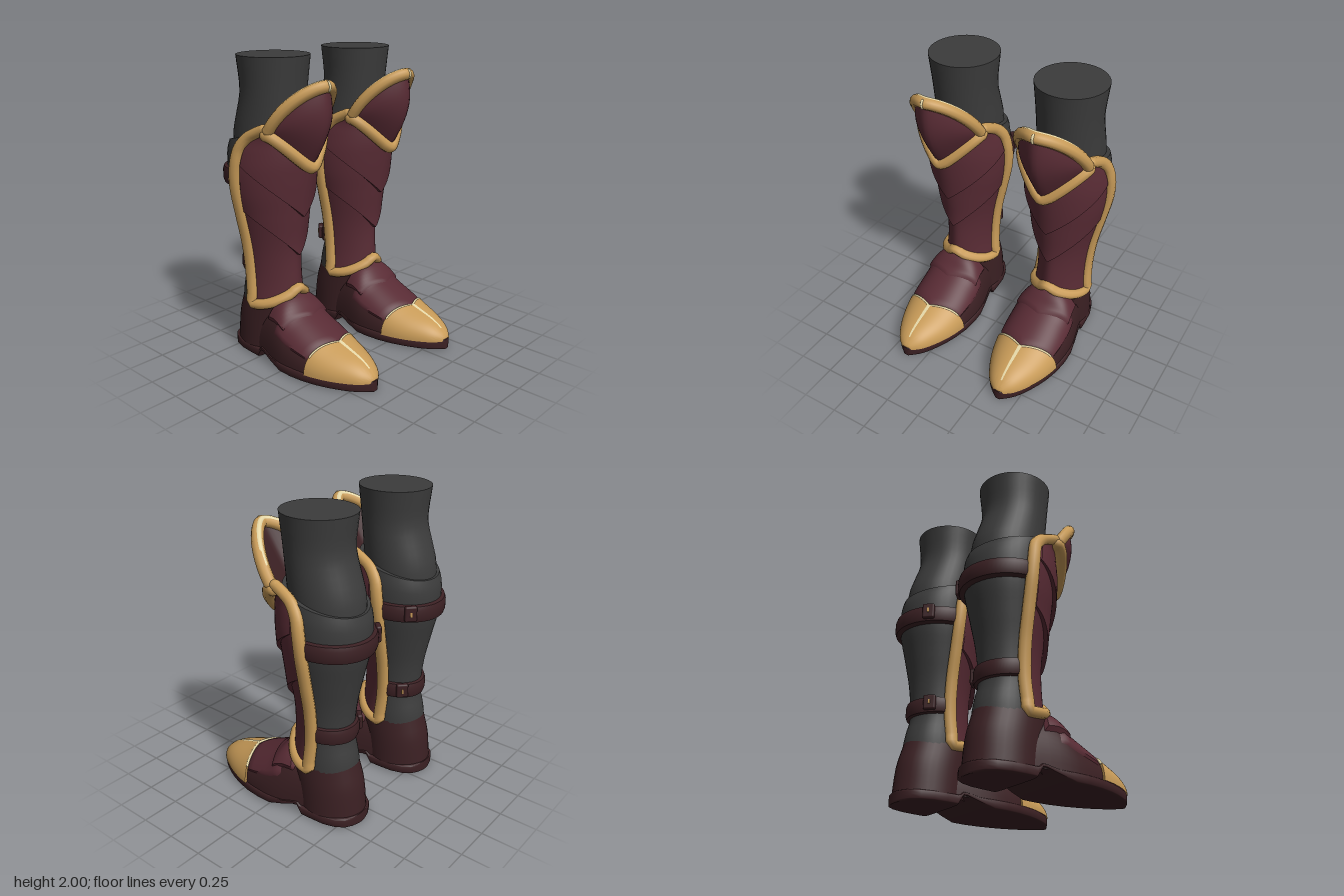
import * as THREE from 'three';
import { toCreasedNormals } from 'three/addons/utils/BufferGeometryUtils.js';
import { RoundedBoxGeometry } from 'three/addons/geometries/RoundedBoxGeometry.js';

const { sin, cos, abs, sign, PI, pow, max, min, sqrt } = Math;
const { lerp, clamp } = THREE.MathUtils;
const V = (x, y, z) => new THREE.Vector3(x, y, z);
const range = (n) => Array.from({ length: n + 1 }, (_, i) => i / n);
const soft = (s) => sqrt(s * s + 0.01) - 0.005;

const mat = (name, color) => new THREE.MeshStandardMaterial({ name, color, side: THREE.DoubleSide });

// Smooth curve through [x, value] pairs, x ascending
function prof(...p) {
  const n = p.length - 1;
  const slope = (j) => {
    const a = p[max(0, j - 1)], b = p[min(n, j + 1)];
    return (b[1] - a[1]) / (b[0] - a[0]);
  };
  return (x) => {
    x = clamp(x, p[0][0], p[n][0]);
    let i = 0;
    while (i < n - 1 && x > p[i + 1][0]) i++;
    const d = p[i + 1][0] - p[i][0], t = (x - p[i][0]) / d, t2 = t * t, t3 = t2 * t;
    return (2 * t3 - 3 * t2 + 1) * p[i][1] + (t3 - 2 * t2 + t) * d * slope(i)
      + (3 * t2 - 2 * t3) * p[i + 1][1] + (t3 - t2) * d * slope(i + 1);
  };
}

// Surface from a rule f(u, v), u and v in 0..1
function surf(f, nu, nv, wrap = false) {
  const pos = [], idx = [], cols = wrap ? nu : nu + 1;
  for (let j = 0; j <= nv; j++) for (let i = 0; i < cols; i++) pos.push(...f(i / nu, j / nv).toArray());
  for (let j = 0; j < nv; j++) for (let i = 0; i < nu; i++) {
    const a = j * cols + i, b = j * cols + (i + 1) % cols;
    idx.push(a, b, b + cols, a, b + cols, a + cols);
  }
  const g = new THREE.BufferGeometry();
  g.setAttribute('position', new THREE.Float32BufferAttribute(pos, 3));
  g.setIndex(idx);
  return toCreasedNormals(g, 0.75);
}

// Upright body with elliptical rings: front z, back z and half width by height
const ring = (b, a, y, o = 0) => {
  const f = b.front(y) + o, k = b.back(y) - o;
  return V((b.half(y) + o) * sin(a), y, (f + k) / 2 + (f - k) / 2 * cos(a));
};
const leg = {
  front: prof([1.2, -0.08], [1.5, -0.06], [1.78, -0.035], [2, -0.01]),
  back: prof([1.2, -0.55], [1.5, -0.545], [1.65, -0.5], [1.78, -0.462], [2, -0.48]),
  half: prof([1.2, 0.21], [1.5, 0.215], [1.78, 0.21], [2, 0.228]),
};
const gaiter = {
  front: prof([0.4, -0.1], [0.6, -0.12], [0.8, -0.1], [1, -0.08], [1.2, -0.05], [1.48, -0.03]),
  back: prof([0.4, -0.525], [0.48, -0.51], [0.58, -0.485], [0.8, -0.5], [1, -0.54], [1.2, -0.582], [1.4, -0.585], [1.48, -0.565]),
  half: prof([0.4, 0.178], [0.6, 0.166], [0.8, 0.182], [1, 0.215], [1.2, 0.25], [1.4, 0.258], [1.48, 0.245]),
};
const ankle = {
  front: prof([0.05, -0.1], [0.25, -0.08], [0.43, -0.05]),
  back: prof([0.05, -0.585], [0.25, -0.565], [0.36, -0.535], [0.43, -0.515]),
  half: prof([0.05, 0.198], [0.25, 0.192], [0.43, 0.18]),
};

// Foot: arched sections along z
const footW = prof([-0.3, 0.175], [-0.1, 0.222], [0, 0.238], [0.1, 0.238], [0.2, 0.228], [0.3, 0.206], [0.4, 0.17], [0.5, 0.118], [0.56, 0.074], [0.6, 0.025]);
const footH = prof([-0.3, 0.4], [-0.1, 0.435], [-0.04, 0.412], [0.02, 0.357], [0.1, 0.315], [0.22, 0.26], [0.31, 0.222], [0.4, 0.192], [0.48, 0.164], [0.54, 0.133], [0.58, 0.1], [0.6, 0.078]);
const foot = (a, z, o = 0) => {
  const c = cos(a), s = max(0, sin(a)), e = lerp(0.87, 0.95, clamp(z / 0.3, 0, 1));
  return V((footW(z) + o) * sign(c) * pow(abs(c), e), 0.06 + (footH(z) - 0.06 + o) * pow(s, e), z);
};
const toeEdge = (a) => 0.305 - 0.085 * abs(cos(a));
// Plate on the foot between two z values, stepped at its front and back edges
const footPlate = (a0, z0, z1, sweep, o) => surf((u, v) => {
  const a = lerp(a0, PI - a0, u);
  const rim = v === 0 || v === 1 || u === 0 || u === 1 ? -0.005 : o;
  return foot(a, lerp(z0, z1, v) - sweep * abs(cos(a)), rim);
}, 28, 10);

// Sole: flat front, arched waist and heel block
const soleW = prof([-0.59, 0.03], [-0.57, 0.1], [-0.53, 0.15], [-0.45, 0.188], [-0.35, 0.2], [-0.2, 0.21], [0, 0.247], [0.1, 0.25], [0.2, 0.24], [0.3, 0.217], [0.4, 0.18], [0.5, 0.128], [0.56, 0.083], [0.61, 0.02]);
const soleRows = [-0.59, -0.588, -0.575, -0.55, -0.5, -0.42, -0.33, -0.25, -0.235, -0.215, -0.19, -0.1, 0,
  0.1, 0.2, 0.3, 0.38, 0.45, 0.5, 0.54, 0.57, 0.59, 0.602, 0.61, 0.61];
const soleBottom = (z) => z < -0.24 ? 0 : z < -0.22 ? 0.03 : z < 0 ? min(0.065, 0.07 * pow(-z / 0.2, 1.2)) : 0;
const soleGeo = () => surf((u, v) => {
  const n = soleRows.length - 1, i = Math.round(v * n), z = soleRows[i], a = u * 2 * PI;
  const w = i === 0 || i === n ? 0 : soleW(z);
  const bot = soleBottom(z), top = max(0.072, bot + 0.025), m = (top + bot) / 2;
  const sq = (k) => sign(k) * pow(abs(k), 0.3);
  return V(w * sq(cos(a)), m + (top - bot) / 2 * sq(sin(a)), z);
}, 32, soleRows.length - 1, true);

// Shin guard: half-wrap with a soft central ridge
const shinW = prof([0.38, 0.193], [0.5, 0.18], [0.65, 0.18], [0.8, 0.196], [1, 0.236], [1.15, 0.267], [1.3, 0.279], [1.42, 0.267], [1.5, 0.245], [1.58, 0.222]);
const shinSide = prof([0.38, -0.3], [0.6, -0.32], [1.2, -0.33], [1.35, -0.315], [1.45, -0.285], [1.52, -0.22], [1.56, -0.14], [1.58, -0.09]);
const shinRidge = prof([0.38, -0.05], [0.5, -0.06], [0.75, -0.065], [1, -0.02], [1.25, 0.035], [1.4, 0.06], [1.58, 0.06]);
const shin = (t, y, o = 0) => {
  const s = sin(t), e = shinSide(y);
  return V((shinW(y) + o) * s, y, e + (shinRidge(y) + o - e) * (0.8 * cos(t) + 0.2 * (1 - soft(s))));
};
const shinBottom = (t) => 0.5 - 0.12 * abs(sin(t));
const shinTop = (t) => 1.36 + 0.21 * abs(sin(t));
// V-shaped line across the shin, from a low tip up to the sides
const chevron = (tip, rise) => (t) => tip + rise * (0.65 * abs(sin(t)) + 0.35 * (1 - cos(t)));
const shinPlate = (lo, hi, span, o) => surf((u, v) => {
  const t = lerp(-span, span, u);
  const y = lerp(lo(t), hi(t), max(0, v - 0.06) / 0.94);
  return shin(t, y, v === 0 ? -0.005 : o * (1 - v) * pow(max(0, cos(t)), 0.6));
}, 32, 16);

// Knee guard: lens between a raised upper edge and a V-shaped lower edge
const kneeEdge = (u, upper) => {
  const s = sin(u * PI / 2), c = cos(u * PI / 2), q = soft(s), k = 0.6 * c + 0.4 * (1 - q);
  return upper ? V(0.222 * s, 1.575 + 0.243 * c + 0.026 * (1 - q), -0.06 + 0.272 * k)
    : V(0.222 * s, 1.32 + 0.225 * pow(q, 1.1), -0.08 + 0.165 * k);
};
const kneeGeo = () => surf((u, v) => {
  u = u * 2 - 1;
  const p = kneeEdge(u, false).lerp(kneeEdge(u, true), v);
  p.z += 0.065 * sin(PI * v) * pow(max(0, cos(u * PI / 2)), 0.8);
  return p;
}, 28, 12);
// Lining slopes from the upper edge back to the leg
const kneeLiningGeo = () => surf((u, v) => {
  u = u * 2 - 1;
  const s = sin(u * PI / 2);
  return V(0.222 * s, 1.4 + 0.15 * abs(s), -0.1).lerp(kneeEdge(u, true), v);
}, 28, 8);

export function createModel() {
  const gold = mat('gold', 0xc89b58), pale = mat('paleGold', 0xe4d6a6), wine = mat('wineRed', 0x582b34);
  const dark = mat('darkLeather', 0x3b2023), cloth = mat('charcoalCloth', 0x3c3c3c);

  function boot(s, name) {
    const g = new THREE.Group();
    g.name = name;
    g.position.x = s * 0.378;
    const add = (part, geo, m) => {
      const mesh = new THREE.Mesh(geo, m);
      mesh.name = part;
      g.add(mesh);
      return mesh;
    };
    // Rounded edging with ball ends, widened along z by the factor wide
    const trim = (part, pts, r, m, wide = 1) => {
      const path = new THREE.CatmullRomCurve3(pts.map((p) => V(p.x, p.y, p.z / wide)));
      add(part, new THREE.TubeGeometry(path, pts.length * 4, r, 10).scale(1, 1, wide), m);
      for (const p of [pts[0], pts[pts.length - 1]]) {
        add(part + 'End', new THREE.SphereGeometry(r, 10, 8).scale(1, 1, wide), m).position.copy(p);
      }
    };

    // Leg and gaiter
    add('leg', surf((u, v) => ring(leg, u * 2 * PI, lerp(1.2, 2, v)), 36, 14, true), cloth);
    const cap = add('legTop', new THREE.CircleGeometry(1, 36), cloth);
    cap.rotation.x = -PI / 2;
    cap.scale.set(0.228, 0.235, 1);
    cap.position.set(0, 2, -0.245);
    add('gaiter', surf((u, v) => {
      const k = Math.round(v * 25), a = u * 2 * PI, y = lerp(0.36, 1.48, min(k, 24) / 24);
      const p = ring(gaiter, a, y, k === 25 ? -0.04 : 0);
      p.y += (0.028 + 0.07 * cos(a)) * max(0, (y - 1.2) / 0.28);
      return p;
    }, 36, 25, true), cloth);

    // Straps and buckles
    for (const [y, h, o] of [[1.25, 0.062, 0.032], [0.645, 0.058, 0.028]]) {
      const off = [-0.01, 0.75 * o, o, o, 0.75 * o, -0.01], dy = [-1, -0.85, -0.45, 0.45, 0.85, 1];
      add('strap', surf((u, v) => {
        const i = Math.round(v * 5), a = lerp(0.53 * PI, 1.47 * PI, u);
        const p = ring(gaiter, a, y, off[i]);
        p.y += dy[i] * h + 0.015 * cos(a);
        return p;
      }, 32, 5), dark);
      const a = PI + s * 0.78, p = ring(gaiter, a, y, o);
      const buckle = add('buckle', new RoundedBoxGeometry(0.08, h * 1.7, 0.035, 2, 0.012), dark);
      buckle.position.copy(p);
      buckle.rotation.y = a;
      const pin = add('bucklePin', new THREE.BoxGeometry(0.012, 0.03, 0.008), gold);
      pin.position.copy(ring(gaiter, a, y, o + 0.018));
      pin.rotation.y = a;
    }

    // Boot
    add('sole', soleGeo(), dark);
    add('ankle', surf((u, v) => {
      const k = Math.round(v * 11), h = min(k, 10) / 10, a = u * 2 * PI;
      const p = ring(ankle, a, lerp(0.05, 0.43, h), k === 11 ? -0.05 : 0);
      p.y -= 0.03 * (1 + cos(a)) * h;
      return p;
    }, 36, 11, true), dark);
    add('footUpper', surf((u, v) => foot(u * PI, lerp(-0.3, 0.57, 1 - (1 - v) ** 2)), 32, 24), dark);
    add('lowerFootPlate', footPlate(0.13 * PI, 0.31, -0.01, 0.085, 0.011), wine);
    add('upperFootPlate', footPlate(0.2 * PI, 0.08, -0.1, 0.09, 0.024), wine);
    add('toeCap', surf((u, v) => {
      const a = u * PI, k = max(0, v * 16 - 1) / 15;
      if (v === 1) return V(0, 0.065, 0.606);
      return foot(a, lerp(toeEdge(a), 0.6, 1 - (1 - k) ** 2), v === 0 ? 0 : 0.015);
    }, 32, 16), gold);
    add('toeRidge', surf((u, v) => foot(lerp(0.485, 0.515, u) * PI, lerp(0.305, 0.56, v), 0.019), 2, 12), pale);
    trim('toeCapEdge', range(16).map((u) => {
      const a = lerp(0.18, 0.82, u) * PI;
      return foot(a, toeEdge(a) + 0.002, 0.01);
    }), 0.008, pale);

    // Shin guard with two overlapping plates
    add('shinGuard', shinPlate(shinBottom, shinTop, PI / 2, 0), wine);
    add('upperShinPlate', shinPlate(chevron(1, 0.36), shinTop, 1.4, 0.038), wine);
    add('lowerShinPlate', shinPlate(chevron(0.73, 0.32), chevron(1.06, 0.36), 1.4, 0.036), wine);
    const sideY = [1.575, 1.55, 1.51, 1.44, 1.34, 1.2, 1, 0.8, 0.6, 0.45];
    const rim = range(10).map((u) => lerp(-PI / 2, PI / 2, u));
    trim('shinTrim', [
      ...sideY.map((y) => shin(-PI / 2, y)),
      ...rim.map((t) => shin(t, shinBottom(t))),
      ...sideY.map((y) => shin(PI / 2, y)).reverse(),
    ], 0.034, gold, 1.3);

    // Knee guard
    add('kneeGuard', kneeGeo(), wine);
    add('kneeLining', kneeLiningGeo(), dark);
    const across = range(20).map((u) => u * 2 - 1);
    trim('kneeUpperTrim', across.map((u) => kneeEdge(u, true)), 0.039, gold);
    trim('kneeLowerTrim', across.map((u) => kneeEdge(u, false)), 0.042, gold);
    trim('kneeHighlight', across.slice(2, -2).map((u) => kneeEdge(u, true).add(V(0, 0.018, -0.009))), 0.021, pale);
    const tip = kneeEdge(0, true);
    trim('kneeTipHighlight', [0.9, 0.4, -0.1, -0.6].map((a) => V(0, tip.y + 0.036 * sin(a), tip.z + 0.036 * cos(a))), 0.008, pale);
    return g;
  }

  const model = new THREE.Group();
  model.name = 'armoredBoots';
  model.add(boot(1, 'leftBoot'), boot(-1, 'rightBoot'));
  return model;
}
